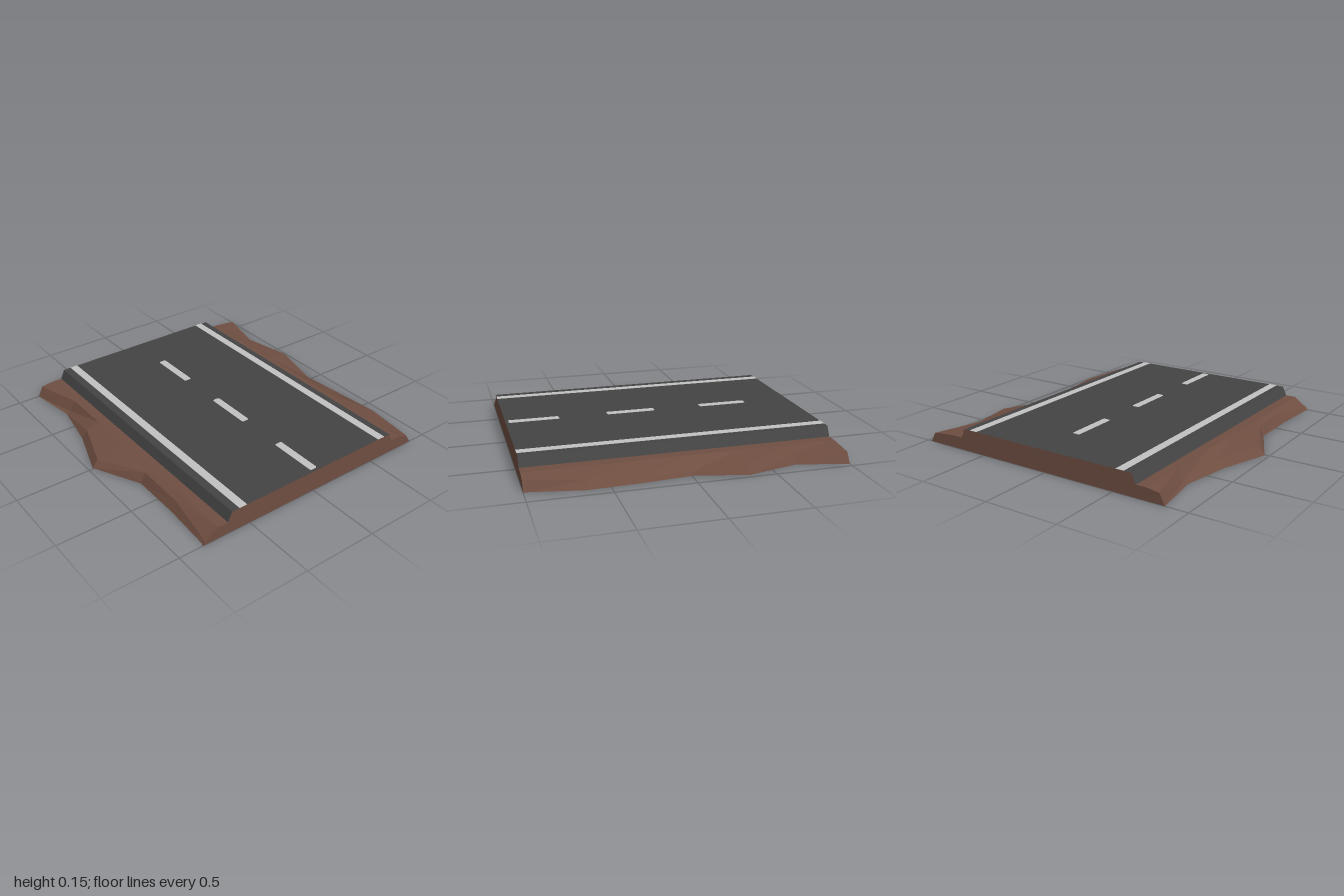
import * as THREE from 'three';

const earthMat = new THREE.MeshStandardMaterial({ color: 0x6f4e41 });
earthMat.name = 'earth brown';
const asphaltMat = new THREE.MeshStandardMaterial({ color: 0x444444 });
asphaltMat.name = 'asphalt grey';
const paintMat = new THREE.MeshStandardMaterial({ color: 0xc1c1c1 });
paintMat.name = 'road paint';

const ROAD_TOP = 0.145;
const SHOULDER = 0.082;

// Stations along the road: x, front foot z, front brow z and y, back brow z and y, back foot z
const stations = [
  [-1, 0.85, 0.815, 0.07, -0.93, 0.065, -0.97],
  [-0.67, 0.8, 0.77, 0.012, -0.855, 0.06, -0.89],
  [-0.34, 0.86, 0.82, 0.05, -0.935, 0.05, -0.97],
  [-0.01, 0.97, 0.93, 0.05, -0.875, 0.02, -0.89],
  [0.31, 0.81, 0.775, 0.07, -0.895, 0.025, -0.915],
  [0.64, 0.81, 0.775, 0.06, -0.89, 0.05, -0.93],
  [0.98, 0.83, 0.815, 0.02, -0.835, 0.062, -0.865],
  [1, 0.84, 0.82, 0.018, -0.83, 0.062, -0.87],
];

// Cross-section from the front foot, over the road, to the back foot
function section([x, foot, browZ, browY, backZ, backY, backFoot]) {
  return [
    [foot, 0], [browZ, browY], [0.73, SHOULDER], [0.66, SHOULDER], [0.63, ROAD_TOP],
    [-0.655, ROAD_TOP], [-0.688, SHOULDER], [-0.76, SHOULDER], [backZ, backY], [backFoot, 0],
  ].map(([z, y]) => [x, y, z]);
}

function quadMesh(name, quads, material) {
  const positions = quads.flatMap(([a, b, c, d]) => [a, b, c, a, c, d].flat());
  const geometry = new THREE.BufferGeometry();
  geometry.setAttribute('position', new THREE.Float32BufferAttribute(positions, 3));
  geometry.computeVertexNormals();
  const mesh = new THREE.Mesh(geometry, material);
  mesh.name = name;
  return mesh;
}

// Painted marking lying on the asphalt, with slightly clipped corners
function marking(name, x0, x1, z0, z1, clip) {
  const s = new THREE.Shape();
  s.moveTo(x0 + clip, -z0);
  s.lineTo(x0, -z0 - clip);
  s.lineTo(x0, -z1 + clip);
  s.lineTo(x0 + clip, -z1);
  s.lineTo(x1 - clip, -z1);
  s.lineTo(x1, -z1 + clip);
  s.lineTo(x1, -z0 - clip);
  s.lineTo(x1 - clip, -z0);
  s.closePath();
  const geometry = new THREE.ExtrudeGeometry(s, { depth: 0.002, bevelEnabled: false });
  geometry.rotateX(-Math.PI / 2);
  const mesh = new THREE.Mesh(geometry, paintMat);
  mesh.name = name;
  mesh.position.y = ROAD_TOP;
  return mesh;
}

export function createModel() {
  const group = new THREE.Group();
  group.name = 'roadSegment';
  const rings = stations.map(section);
  const last = rings[0].length - 1;

  // Ragged earth banks and underside
  const earth = [];
  for (let k = 0; k < rings.length - 1; k++) {
    const a = rings[k], b = rings[k + 1];
    for (const i of [0, 1, 2, 6, 7, 8]) earth.push([a[i], b[i], b[i + 1], a[i + 1]]);
    earth.push([a[0], a[last], b[last], b[0]]);
  }
  group.add(quadMesh('earthBanks', earth, earthMat));

  // Cut faces at both ends
  const left = rings[rings.length - 1], right = rings[0];
  const caps = [];
  for (let i = 0; i < last / 2 - 1; i++) {
    const j = last - i;
    caps.push([left[i], left[j], left[j - 1], left[i + 1]]);
    caps.push([right[j], right[i], right[i + 1], right[j - 1]]);
  }
  group.add(quadMesh('cutEnds', caps, earthMat));

  // Asphalt deck with sloping kerbs
  const deck = [3, 4, 5].map((i) => [right[i], left[i], left[i + 1], right[i + 1]]);
  group.add(quadMesh('asphaltDeck', deck, asphaltMat));

  // Edge lines and centre dashes
  group.add(marking('frontEdgeLine', -1, 1, 0.522, 0.577, 0));
  group.add(marking('backEdgeLine', -1, 1, -0.608, -0.553, 0));
  [[-0.675, -0.34], [-0.012, 0.318], [0.645, 0.98]].forEach(([x0, x1], n) =>
    group.add(marking('centreDash' + (n + 1), x0, x1, -0.04, 0.012, 0.008)));

  return group;
}
